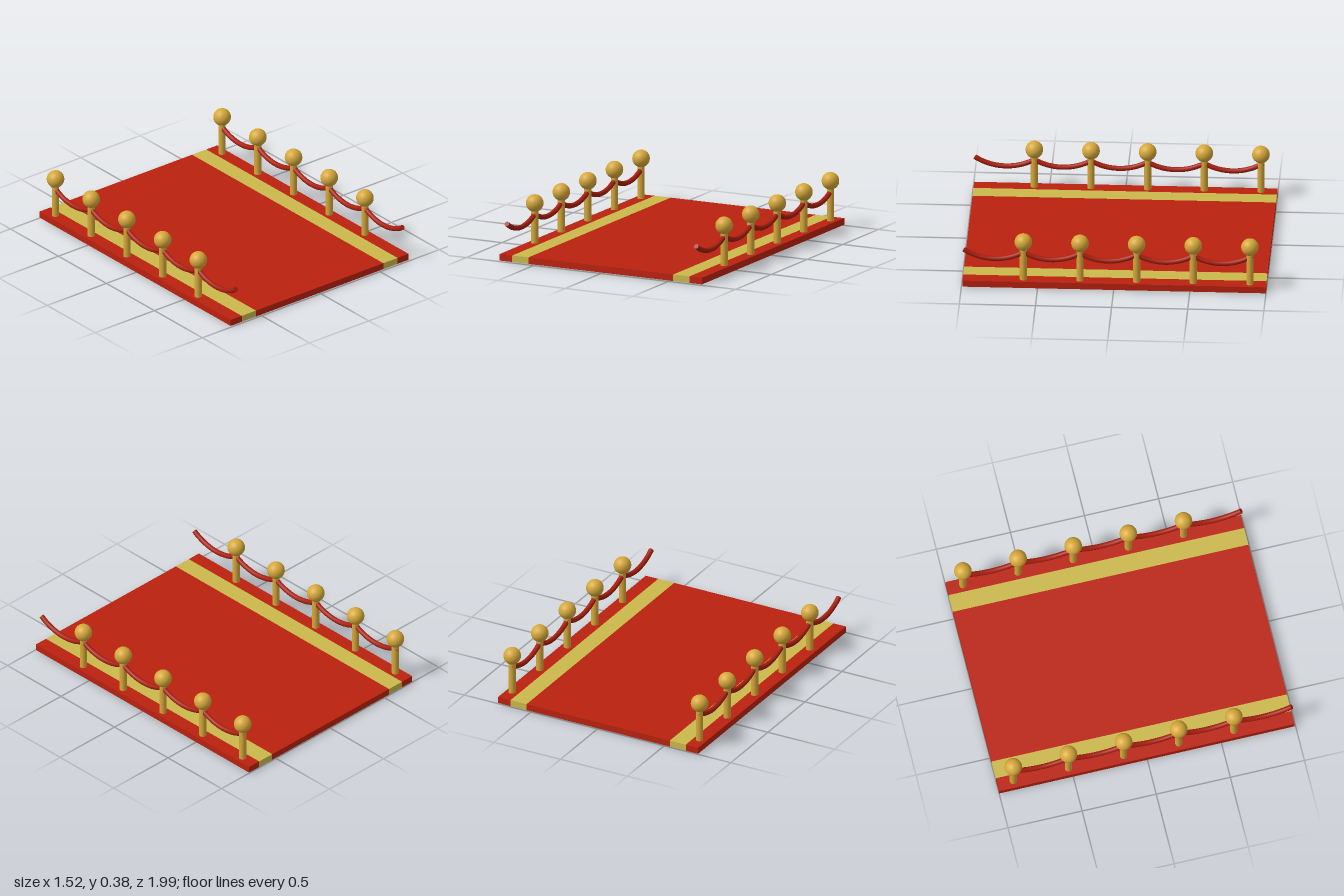
import * as THREE from 'three';

const mat = (name, color, extra = {}) => {
  const m = new THREE.MeshStandardMaterial({ color, ...extra });
  m.name = name;
  return m;
};

export function createModel() {
  const red = mat('carpetRed', 0xbb210f);
  const stripeGold = mat('stripeGold', 0xcbb84c);
  const brass = mat('brass', 0xd6a83a);
  const ropeRed = mat('ropeRed', 0xa81e0e);

  const model = new THREE.Group();
  model.name = 'ropedCarpet';
  const add = (parent, name, geometry, material, x = 0, y = 0, z = 0) => {
    const mesh = new THREE.Mesh(geometry, material);
    mesh.name = name;
    mesh.position.set(x, y, z);
    parent.add(mesh);
    return mesh;
  };

  // Carpet: five side-by-side strips running front to back
  const carpet = new THREE.Group();
  carpet.name = 'carpet';
  model.add(carpet);
  const edges = [-0.755, -0.662, -0.542, 0.533, 0.653, 0.746];
  const names = ['rightBorder', 'rightStripe', 'carpetCentre', 'leftStripe', 'leftBorder'];
  names.forEach((name, i) => {
    const geometry = new THREE.BoxGeometry(edges[i + 1] - edges[i], 0.044, 1.993);
    add(carpet, name, geometry, i % 2 ? stripeGold : red, (edges[i] + edges[i + 1]) / 2, 0.027, -0.0035);
  });

  // Shared barrier geometry
  const spacing = 0.372, firstZ = -0.893, ropeRadius = 0.017;
  const postGeometry = new THREE.CylinderGeometry(0.024, 0.024, 0.29, 24);
  const ballGeometry = new THREE.SphereGeometry(0.058, 32, 20);

  // Hanging rope: circular arc reaching just past each post centre
  const half = 0.204, sag = 0.062;
  const radius = (half * half + sag * sag) / (2 * sag);
  const sweep = Math.asin(half / radius);
  const points = [];
  for (let i = 0; i <= 12; i++) {
    const a = sweep * (i / 6 - 1);
    points.push(new THREE.Vector3(0, 0.193 + radius * (1 - Math.cos(a)), radius * Math.sin(a)));
  }
  const ropeGeometry = new THREE.TubeGeometry(new THREE.CatmullRomCurve3(points), 28, ropeRadius, 14);
  const capGeometry = new THREE.CircleGeometry(ropeRadius, 14);

  // One row of posts and ropes on each side
  for (const [side, x] of [['right', -0.706], ['left', 0.7]]) {
    const row = new THREE.Group();
    row.name = side + 'Barrier';
    row.position.x = x;
    model.add(row);
    for (let i = 0; i < 5; i++) {
      const z = firstZ + i * spacing;
      add(row, 'post', postGeometry, brass, 0, 0.145, z);
      add(row, 'postBall', ballGeometry, brass, 0, 0.317, z);
      add(row, 'rope', ropeGeometry, ropeRed, 0, 0, z + spacing / 2);
    }
    // Closed free end of the front rope
    const cap = add(row, 'ropeEnd', capGeometry, ropeRed, 0, 0.193 + sag, firstZ + 4.5 * spacing + half);
    cap.rotation.x = -sweep;
  }
  return model;
}
